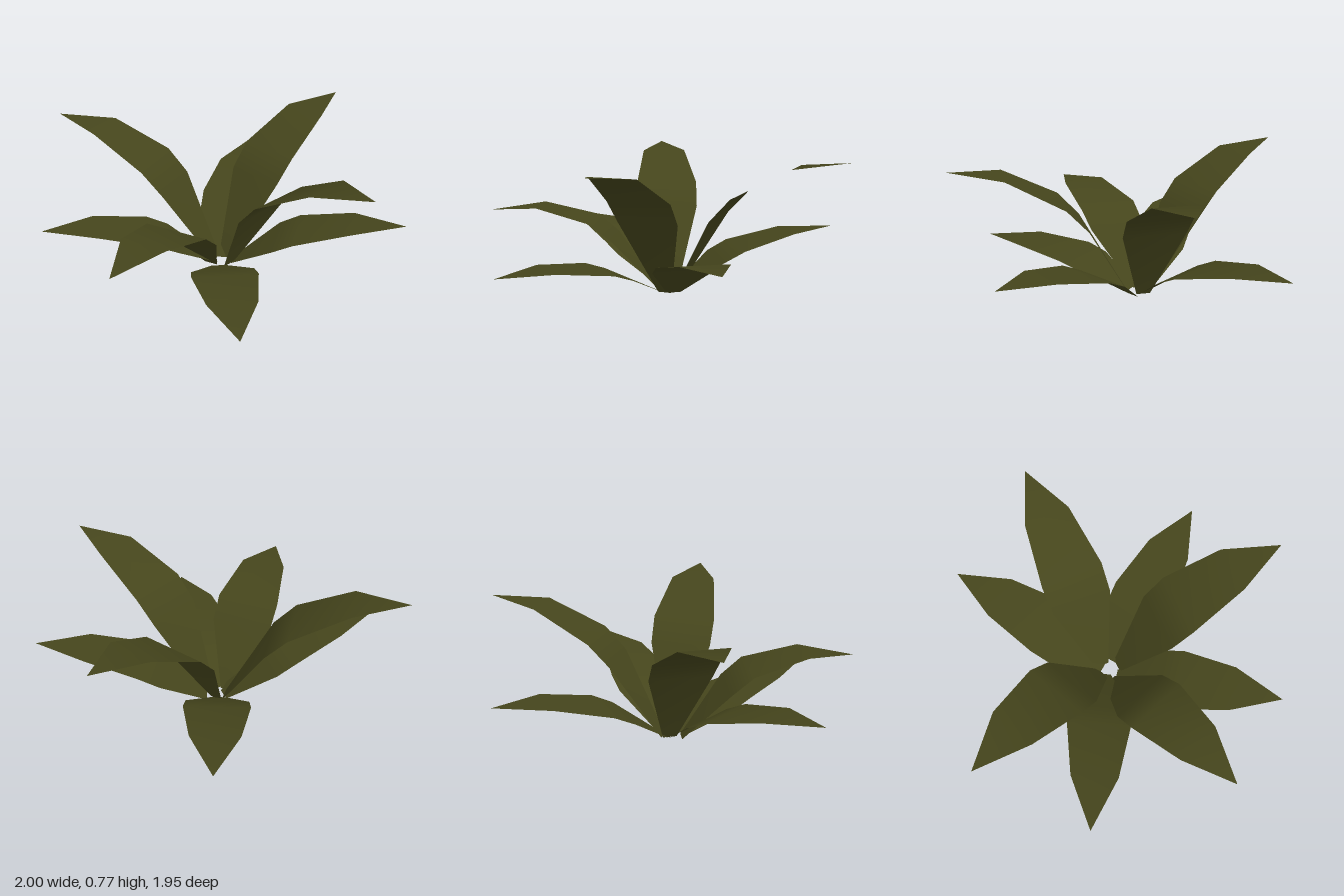
import * as THREE from 'three';

// Distance back from the tip and half width at each cross-section, base to tip
const BACK = [0.97, 0.72, 0.6, 0.29, 0];
const HALF_WIDTH = [0.04, 0.174, 0.18, 0.13, 0];

// Height of each cross-section for the different leaf tilts
const TALL = [0, 0.44, 0.57, 0.735, 0.77];
const RAISED = [0, 0.3, 0.4, 0.48, 0.45];
const SPREAD = [0, 0.18, 0.24, 0.315, 0.33];
const LOW = [0, 0.125, 0.168, 0.205, 0.19];

// Tip position and outward heading (x, z) of every leaf in the rosette
const LEAVES = [
  { tip: [-0.42, -0.98], heading: [-0.42, -0.91], heights: TALL },
  { tip: [-0.87, -0.57], heading: [-0.87, -0.49], heights: SPREAD },
  { tip: [-1.0, 0.215], heading: [-0.95, 0.305], heights: RAISED },
  { tip: [-0.66, 0.735], heading: [-0.61, 0.79], heights: LOW },
  { tip: [-0.01, 0.97], heading: [0, 1], heights: TALL },
  { tip: [0.58, 0.785], heading: [0.56, 0.83], heights: SPREAD },
  { tip: [1.0, -0.08], heading: [1, 0], heights: TALL },
  { tip: [0.805, -0.645], heading: [0.82, -0.58], heights: SPREAD },
];

// Flat-sectioned blade: one left/right pair per cross-section, closed by a tip
function leafGeometry({ tip, heading, heights }) {
  const [dx, dz] = new THREE.Vector2(...heading).normalize().toArray();
  const positions = [];
  const indices = [];
  const last = BACK.length - 1;
  for (let i = 0; i < last; i++) {
    const x = tip[0] - dx * BACK[i];
    const z = tip[1] - dz * BACK[i];
    const w = HALF_WIDTH[i];
    positions.push(x + dz * w, heights[i], z - dx * w);
    positions.push(x - dz * w, heights[i], z + dx * w);
    const a = i * 2;
    if (i < last - 1) indices.push(a, a + 1, a + 2, a + 1, a + 3, a + 2);
    else indices.push(a, a + 1, a + 2);
  }
  positions.push(tip[0], heights[last], tip[1]);

  const geometry = new THREE.BufferGeometry();
  geometry.setAttribute('position', new THREE.Float32BufferAttribute(positions, 3));
  geometry.setIndex(indices);
  geometry.computeVertexNormals();
  return geometry;
}

export function createModel() {
  const plant = new THREE.Group();
  plant.name = 'rosettePlant';
  const leafMaterial = new THREE.MeshStandardMaterial({
    color: 0x45451c,
    side: THREE.DoubleSide,
  });
  LEAVES.forEach((leaf, i) => {
    const mesh = new THREE.Mesh(leafGeometry(leaf), leafMaterial);
    mesh.name = `leaf${i + 1}`;
    plant.add(mesh);
  });
  return plant;
}
